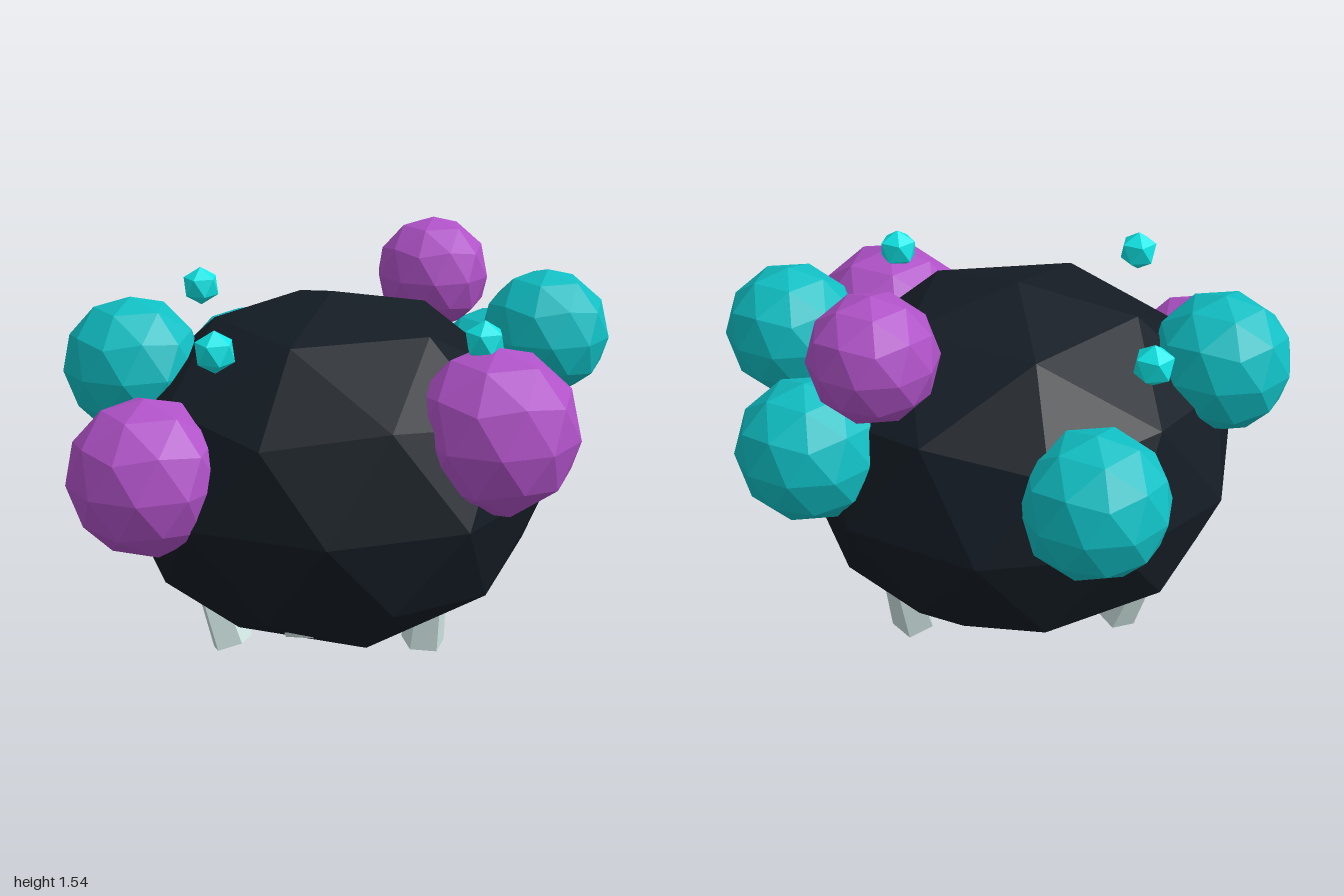
import * as THREE from 'three';

const paint = (color) => new THREE.MeshStandardMaterial({ color, flatShading: true, side: THREE.FrontSide });

// Icosphere turned so that one of its corners points straight up
function icosphere(detail) {
  const geometry = new THREE.IcosahedronGeometry(1, detail);
  geometry.rotateZ(-Math.atan(2 / (1 + Math.sqrt(5))));
  geometry.computeVertexNormals();
  return geometry;
}

export function createModel() {
  const model = new THREE.Group();
  const black = paint(0x141c24);
  const purple = paint(0xb052c8);
  const teal = paint(0x10bfc4);
  const cyan = paint(0x10e8e8);
  const bone = paint(0xcfe4e2);
  const ball = icosphere(1);
  const crystal = icosphere(0);

  const add = (name, geometry, material, [x, y, z], rx, ry = rx) => {
    const mesh = new THREE.Mesh(geometry, material);
    mesh.name = name;
    mesh.position.set(x, y, z);
    mesh.scale.set(rx, ry, rx);
    model.add(mesh);
    return mesh;
  };

  // Squashed faceted body
  add('body', ball, black, [-0.036, 0.755, -0.005], 0.775, 0.635);

  // Large bulbs growing out of the body: x, y, z, radius
  const purpleBulbs = [
    [-0.242, 0.881, 0.722, 0.269],
    [0.63, 1.016, -0.013, 0.287],
    [-0.037, 1.335, -0.633, 0.212],
  ];
  const tealBulbs = [
    [-0.572, 1.133, 0.434, 0.244],
    [-0.664, 0.925, -0.277, 0.25],
    [0.172, 0.963, -0.755, 0.244],
    [0.5, 1.212, -0.553, 0.227],
  ];
  purpleBulbs.forEach(([x, y, z, r], i) => add(`purpleBulb${i + 1}`, ball, purple, [x, y, z], r));
  tealBulbs.forEach(([x, y, z, r], i) => add(`tealBulb${i + 1}`, ball, teal, [x, y, z], r));

  // Small crystals hovering around the top
  const crystals = [[-0.036, 1.315, 0.605], [0.58, 1.315, -0.012], [-0.652, 1.315, -0.012]];
  crystals.forEach((p, i) => add(`crystal${i + 1}`, crystal, cyan, p, 0.071));

  // Five-sided leaning legs, wider at the foot: foot centre and upward axis
  const legGeometry = new THREE.CylinderGeometry(0.055, 0.08, 0.4, 5);
  legGeometry.translate(0, 0.2, 0);
  const legs = [
    [[-0.333, 0.035, 0.23], [-0.4, 1, 0.03]],
    [[0.11, 0.09, -0.395], [-0.15, 1, -0.32]],
    [[0.38, 0.175, 0.01], [0.1, 1, 0]],
    [[0.11, 0.31, 0.37], [0.3, 1, 0.3]],
  ];
  const up = new THREE.Vector3(0, 1, 0);
  legs.forEach(([foot, axis], i) => {
    const leg = add(`leg${i + 1}`, legGeometry, bone, foot, 1);
    leg.quaternion.setFromUnitVectors(up, new THREE.Vector3(...axis).normalize());
  });

  return model;
}
